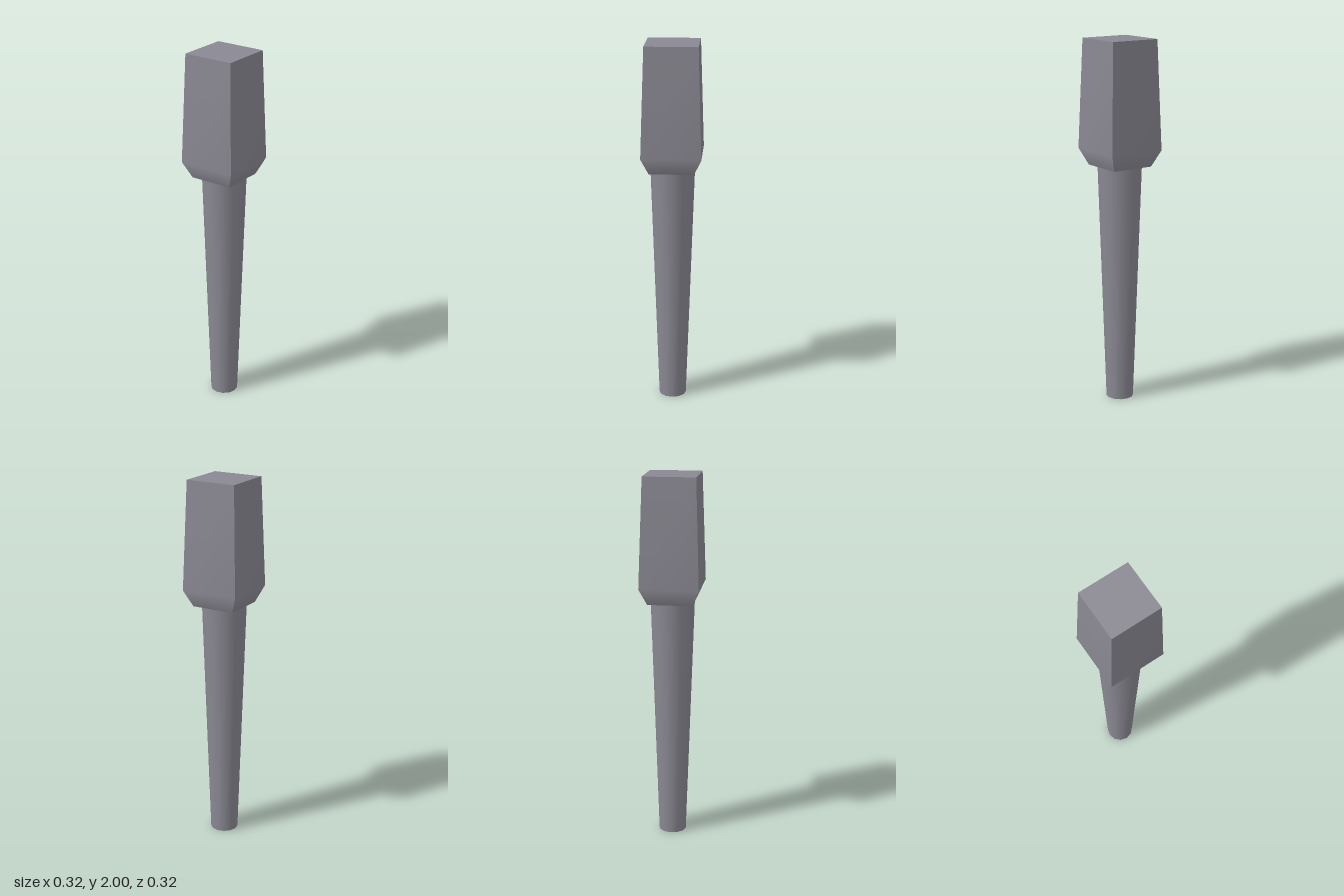
import * as THREE from 'three';

// One side of the head: a strip of widening and narrowing rows, smooth along its height
function headSide(rows) {
  const positions = [], index = [];
  rows.forEach(([half, y], i) => {
    positions.push(-half, y, half, half, y, half);
    if (i > 0) {
      const a = (i - 1) * 2;
      index.push(a, a + 1, a + 3, a, a + 3, a + 2);
    }
  });
  const geometry = new THREE.BufferGeometry();
  geometry.setAttribute('position', new THREE.Float32BufferAttribute(positions, 3));
  geometry.setIndex(index);
  geometry.computeVertexNormals();
  return geometry;
}

export function createModel() {
  const model = new THREE.Group();
  model.name = 'taperedLeg';
  const grey = new THREE.MeshStandardMaterial({ color: 0x8a8892 });
  grey.name = 'grey';

  const add = (name, geometry, parent = model) => {
    const mesh = new THREE.Mesh(geometry, grey);
    mesh.name = name;
    parent.add(mesh);
    return mesh;
  };

  // Round tapered shaft
  const bottom = 0, shoulder = 1.32, top = 2;
  const shaft = add('shaft', new THREE.CylinderGeometry(0.12, 0.075, shoulder - bottom, 12));
  shaft.position.y = shoulder / 2;

  // Square head: flares out from the shaft, then narrows to the top
  const head = new THREE.Group();
  head.name = 'head';
  model.add(head);
  const rows = [[0.12, shoulder], [0.16, 1.41], [0.141, top]];
  for (let i = 0; i < 4; i++) {
    add('headSide', headSide(rows), head).rotation.y = i * Math.PI / 2;
  }

  // Flat ends of the head
  const topFace = add('headTop', new THREE.PlaneGeometry(0.282, 0.282), head);
  topFace.rotation.x = -Math.PI / 2;
  topFace.position.y = top;
  const underside = add('headUnderside', new THREE.PlaneGeometry(0.24, 0.24), head);
  underside.rotation.x = Math.PI / 2;
  underside.position.y = shoulder;

  return model;
}
